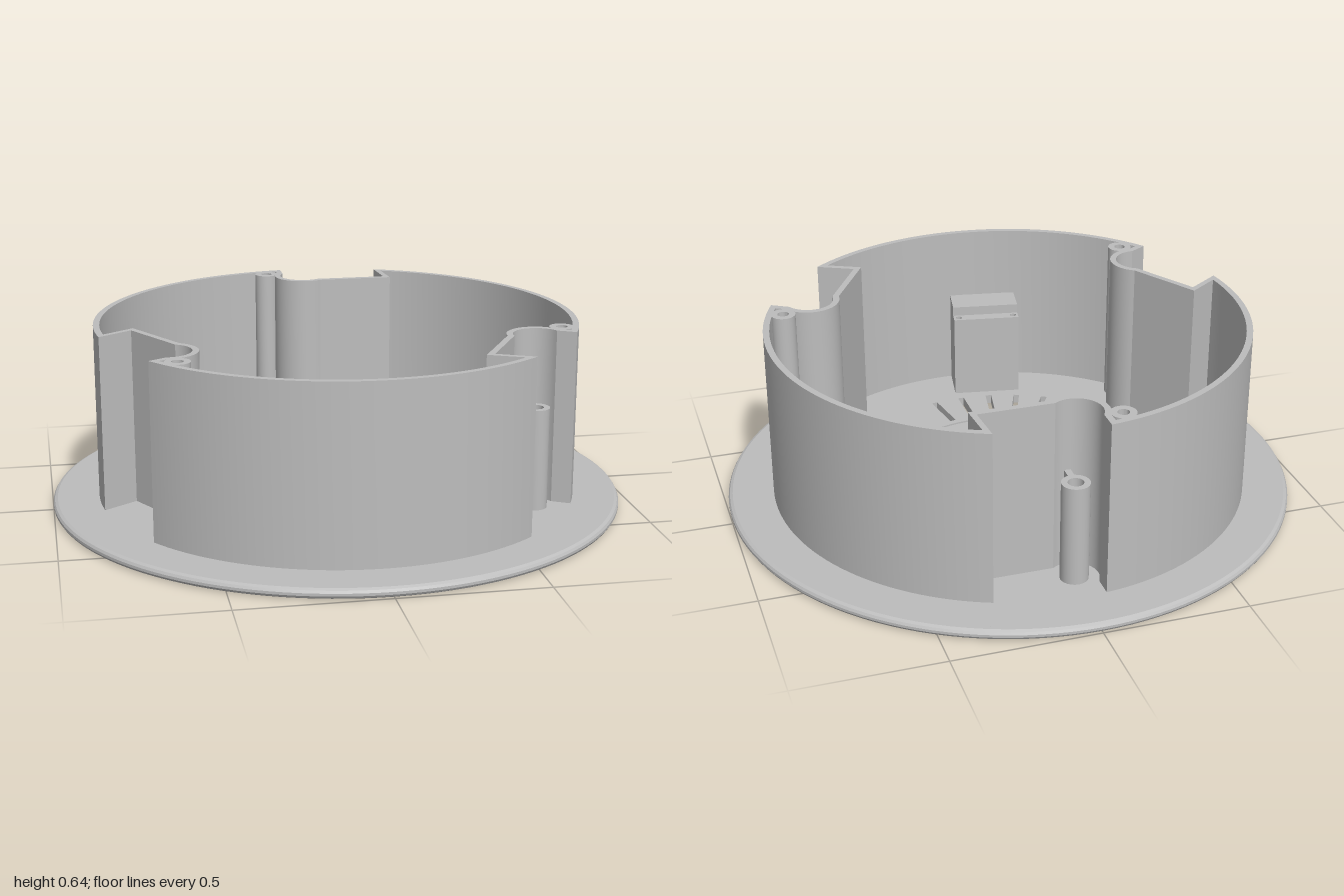
import * as THREE from 'three';
import { toCreasedNormals } from 'three/addons/utils/BufferGeometryUtils.js';

const TAU = Math.PI * 2, DEG = Math.PI / 180;
const PLATE = 0.035, TOP = 0.645;
const V = (x, z) => new THREE.Vector2(x, z);

const grey = new THREE.MeshStandardMaterial({ color: 0xbdbdbd });
grey.name = 'grey plastic';

function add(parent, name, geometry) {
  const mesh = new THREE.Mesh(toCreasedNormals(geometry, 0.45), grey);
  mesh.name = name;
  parent.add(mesh);
  return mesh;
}

// Plan outlines are drawn as (x, z) and extruded from y0 up to y1
function plan(outline, holes, y0, y1) {
  const shape = new THREE.Shape(outline);
  shape.holes = holes.map(h => new THREE.Path(h));
  return new THREE.ExtrudeGeometry(shape, { depth: y1 - y0, bevelEnabled: false })
    .rotateX(Math.PI / 2).translate(0, y1, 0);
}

function arc(x, z, r, a0, a1, n) {
  return Array.from({ length: n + 1 }, (_, i) => {
    const a = a0 + (a1 - a0) * i / n;
    return V(x + r * Math.cos(a), z + r * Math.sin(a));
  });
}
const circle = (x, z, r, n = 24) => arc(x, z, r, 0, TAU, n).slice(0, n);

// Rectangle with its length along the given plan angle
function rect(x, z, length, width, angle = 0) {
  return [[-1, -1], [1, -1], [1, 1], [-1, 1]].map(([u, v]) =>
    V(u * length / 2, v * width / 2).rotateAround(V(0, 0), angle).add(V(x, z)));
}

function tube(parent, name, x, z, r, hole, y0, y1) {
  return add(parent, name, plan(circle(x, z, r), [circle(x, z, hole, 16)], y0, y1));
}

function countersink(parent, x, z, wide, narrow, h) {
  const g = new THREE.LatheGeometry([V(wide, h), V(narrow, h), V(narrow, h * 0.8), V(wide, 0)], 24);
  add(parent, 'countersunkHole', g.translate(x, 0, z));
}

// Closed wall outline with three notches; d is the inward offset
function shellOutline(d) {
  const R = 0.84 - d, onRim = x => V(x, -Math.sqrt(R * R - x * x));
  const s = 0.07 + d, c = 0.085 + d, k = Math.sqrt(c * c - s * s);
  const notch = [
    onRim(-s),
    ...arc(0, -0.72, c, Math.atan2(-k, -s) + TAU, Math.atan2(s, k), 20),
    V(0.305 + d, -0.65 + d),
    onRim(0.295 + d),
  ];
  const a0 = notch[notch.length - 1].angle(), a1 = notch[0].angle() + TAU / 3;
  const third = [...notch, ...arc(0, 0, R, a0, a1, 40).slice(1, -1)];
  return [0, 1, 2].flatMap(i => third.map(p => p.clone().rotateAround(V(0, 0), i * TAU / 3)));
}

// Raised rectangular frame on the plate
function frame(parent, name, x, z, length, width, angle, wall, y1) {
  add(parent, name, plan(rect(x, z, length, width, angle),
    [rect(x, z, length - 2 * wall, width - 2 * wall, angle)], PLATE, y1));
}

export function createModel() {
  const model = new THREE.Group();
  model.name = 'roundHousing';

  const vent = { x: -0.465, z: -0.395, a: 131.5 * DEG };
  const bay = { x: 0.553, z: -0.198, a: 70.3 * DEG };
  const mounts = [0, 1, 2].map(i => V(0, -0.72).rotateAround(V(0, 0), i * TAU / 3));
  const screws = [0, 1, 2].map(i => V(0, 0.37).rotateAround(V(0, 0), i * TAU / 3));

  // Openings through the plate
  const ventSlots = [-3, -2, -1, 0, 1, 2, 3].map(i => rect(
    vent.x + i * 0.04 * Math.cos(vent.a), vent.z + i * 0.04 * Math.sin(vent.a),
    0.2, 0.021, vent.a - Math.PI / 2));
  const fanSlots = [-1, 0, 1, 2, 3].map(i => {
    const a = (90 + i * 10.2) * DEG;
    return rect(0.535 * Math.cos(a), 0.535 * Math.sin(a), 0.165, 0.022, a);
  });
  const window = rect(0.481, -0.374, 0.31, 0.185, bay.a);

  // Base plate with a shallow central recess and rounded rim
  add(model, 'basePlate', plan(circle(0, 0, 0.97, 128), [
    circle(0, 0, 0.43, 96), window, ...ventSlots, ...fanSlots,
    ...mounts.map(p => circle(p.x, p.y, 0.048)),
  ], 0, PLATE));
  add(model, 'centreRecess', plan(circle(0, 0, 0.43, 96), [
    circle(0, 0, 0.305, 96), ...screws.map(p => circle(p.x, p.y, 0.034)),
  ], 0, 0.029));
  add(model, 'plateRim', new THREE.LatheGeometry([
    V(0.97, 0), V(0.985, 0), V(0.995, 0.005), V(1, 0.013),
    V(1, 0.022), V(0.995, 0.03), V(0.985, PLATE), V(0.97, PLATE),
  ], 128));
  add(model, 'centreHoleChamfer', new THREE.LatheGeometry(
    [V(0.305, 0.029), V(0.285, 0), V(0.305, 0)], 96));
  mounts.forEach(p => countersink(model, p.x, p.y, 0.048, 0.027, PLATE));
  screws.forEach(p => countersink(model, p.x, p.y, 0.034, 0.022, 0.029));

  // Notched cylindrical wall
  add(model, 'shellWall', plan(shellOutline(0), [shellOutline(0.022)], PLATE, TOP));

  // Mounting post, rib and lid screw boss at each notch
  for (let i = 0; i < 3; i++) {
    const station = new THREE.Group();
    station.name = 'mountStation';
    station.rotation.y = -i * TAU / 3;
    tube(station, 'mountPost', 0, -0.72, 0.048, 0.027, PLATE, 0.39);
    add(station, 'postRib', plan(rect(0, -0.654, 0.022, 0.045), [], PLATE, 0.39));
    tube(station, 'lidBoss', -0.134, -0.77, 0.043, 0.02, PLATE, TOP);
    model.add(station);
  }

  // Vent frame with inner ledge and two posts
  frame(model, 'ventFrame', vent.x, vent.z, 0.43, 0.28, vent.a, 0.016, 0.11);
  frame(model, 'ventLedge', vent.x, vent.z, 0.4, 0.25, vent.a, 0.016, 0.07);
  tube(model, 'ventPost', -0.308, -0.585, 0.038, 0.018, PLATE, 0.11);
  tube(model, 'ventPost', -0.63, -0.2, 0.038, 0.018, PLATE, 0.11);

  // Long bay frame around the window with two posts
  frame(model, 'bayFrame', bay.x, bay.z, 0.715, 0.217, bay.a, 0.016, 0.11);
  tube(model, 'bayPost', 0.41, -0.567, 0.038, 0.018, PLATE, 0.11);
  tube(model, 'bayPost', 0.677, 0.168, 0.038, 0.018, PLATE, 0.11);

  // Connector block against the front wall, with a lower drilled strip
  const block = new THREE.Group();
  block.name = 'connectorBlock';
  block.position.set(-0.118, 0, 0.663);
  block.rotation.y = -10 * DEG;
  add(block, 'blockBody', plan(rect(0, 0.08, 0.25, 0.118), [], PLATE, 0.385));
  add(block, 'blockStrip', plan(rect(0, 0, 0.25, 0.043),
    [circle(-0.105, 0, 0.012, 12), circle(0.105, 0, 0.012, 12)], PLATE, 0.35));
  model.add(block);

  return model;
}
